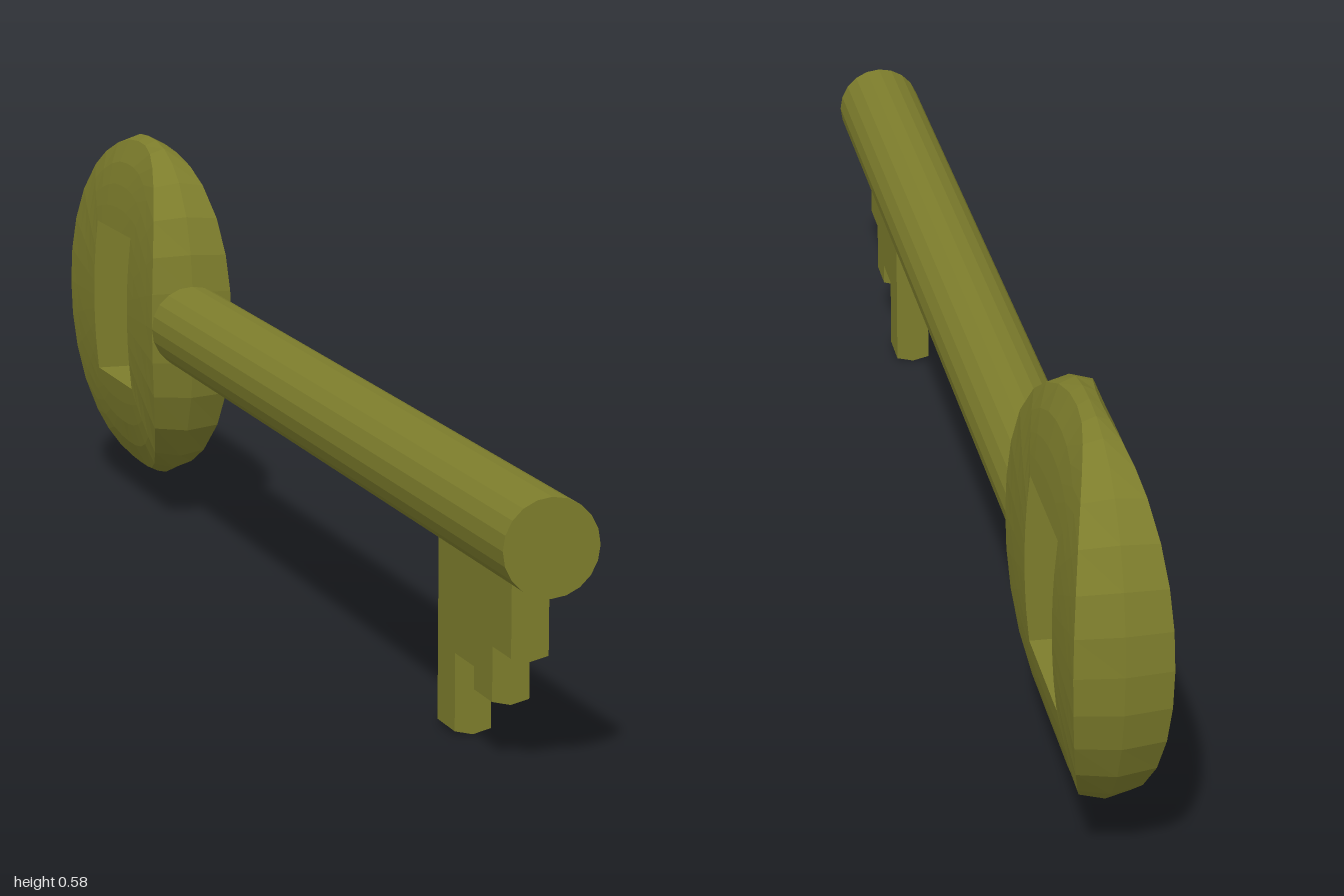
import * as THREE from 'three';

const material = new THREE.MeshStandardMaterial({ color: 0x7d7d2c, flatShading: true, side: THREE.DoubleSide });

const RADIUS = 0.064;            // shaft radius, also half thickness of the handle
const CENTER = { y: 0.317, z: -0.757 };
const HOLE = { y: 0.12, z: 0.095 };
const HALF = { y: 0.267, z: 0.243 };

function addPart(group, name, geometry) {
  const mesh = new THREE.Mesh(geometry, material);
  mesh.name = name;
  group.add(mesh);
}

// Point on the rounded outline of the handle, squarer towards the shaft
function outline(a) {
  const c = Math.cos(a), s = Math.sin(a), n = c > 0 ? 2.5 : 2.2;
  const r = (Math.abs(c / HALF.z) ** n + Math.abs(s / HALF.y) ** n) ** (-1 / n);
  return { z: c * r, y: s * r };
}

// Point on the rectangular hole along the same ray
function holeEdge(a) {
  const c = Math.cos(a), s = Math.sin(a);
  const r = 1 / Math.max(Math.abs(c) / HOLE.z, Math.abs(s) / HOLE.y);
  return { z: c * r, y: s * r };
}

// Handle: a lens whose thickness falls off with height, pierced by the hole
function handleGeometry() {
  const corner = Math.atan2(HOLE.y, HOLE.z);
  const stops = [-corner, corner, Math.PI - corner, Math.PI + corner, 2 * Math.PI - corner];
  const angles = [];
  for (let q = 0; q < 4; q++) {
    for (let k = 0; k < 8; k++) angles.push(THREE.MathUtils.lerp(stops[q], stops[q + 1], k / 8));
  }
  const steps = [0, 0.25, 0.5, 0.75, 1];
  const positions = [], indices = [];
  for (const a of angles) {
    const o = outline(a), h = holeEdge(a);
    const add = (x, y, z) => positions.push(x, y + CENTER.y, z + CENTER.z);
    const face = (t, side) => {
      const y = THREE.MathUtils.lerp(o.y * 0.97, h.y, t);
      const z = THREE.MathUtils.lerp(o.z * 0.97, h.z, t);
      add(side * RADIUS * Math.sqrt(1 - (y / HALF.y) ** 2), y, z);
    };
    add(0, o.y, o.z);
    steps.forEach((t) => face(t, 1));
    [...steps].reverse().forEach((t) => face(t, -1));
  }
  const n = steps.length * 2 + 1, m = angles.length;
  for (let i = 0; i < m; i++) {
    for (let j = 0; j < n; j++) {
      const i2 = (i + 1) % m, j2 = (j + 1) % n;
      const a = i * n + j, b = i * n + j2, c = i2 * n + j2, d = i2 * n + j;
      indices.push(a, b, d, b, c, d);
    }
  }
  const geometry = new THREE.BufferGeometry();
  geometry.setAttribute('position', new THREE.Float32BufferAttribute(positions, 3));
  geometry.setIndex(indices);
  geometry.computeVertexNormals();
  return geometry;
}

// Stepped teeth with slightly bulging undersides
function teethGeometry() {
  const profile = [
    [0.93, 0.28], [0.93, 0.152], [0.865, 0.152], [0.865, 0.08], [0.8, 0.08],
    [0.8, 0.11], [0.73, 0.11], [0.73, 0.006], [0.665, 0.006], [0.665, 0.28],
  ];
  const shape = new THREE.Shape(profile.map(([z, y]) => new THREE.Vector2(z, y)));
  const geometry = new THREE.ExtrudeGeometry(shape, { depth: 0.05, steps: 2, bevelEnabled: false });
  geometry.translate(0, 0, -0.025);
  geometry.rotateY(-Math.PI / 2);
  const p = geometry.attributes.position;
  for (let i = 0; i < p.count; i++) {
    if (Math.abs(p.getX(i)) < 0.001 && p.getY(i) < 0.2) p.setY(i, p.getY(i) - 0.006);
  }
  geometry.computeVertexNormals();
  return geometry;
}

export function createModel() {
  const key = new THREE.Group();
  key.name = 'key';

  // Shaft, rising very slightly towards the handle
  const front = 1, back = -0.58;
  const shaft = new THREE.CylinderGeometry(RADIUS, RADIUS, front - back, 20);
  shaft.rotateX(Math.PI / 2);
  shaft.translate(0, 0, (front + back) / 2);
  const p = shaft.attributes.position;
  for (let i = 0; i < p.count; i++) p.setY(i, p.getY(i) + 0.307 + (front - p.getZ(i)) * 0.0066);
  shaft.computeVertexNormals();

  addPart(key, 'shaft', shaft);
  addPart(key, 'handle', handleGeometry());
  addPart(key, 'teeth', teethGeometry());
  return key;
}
